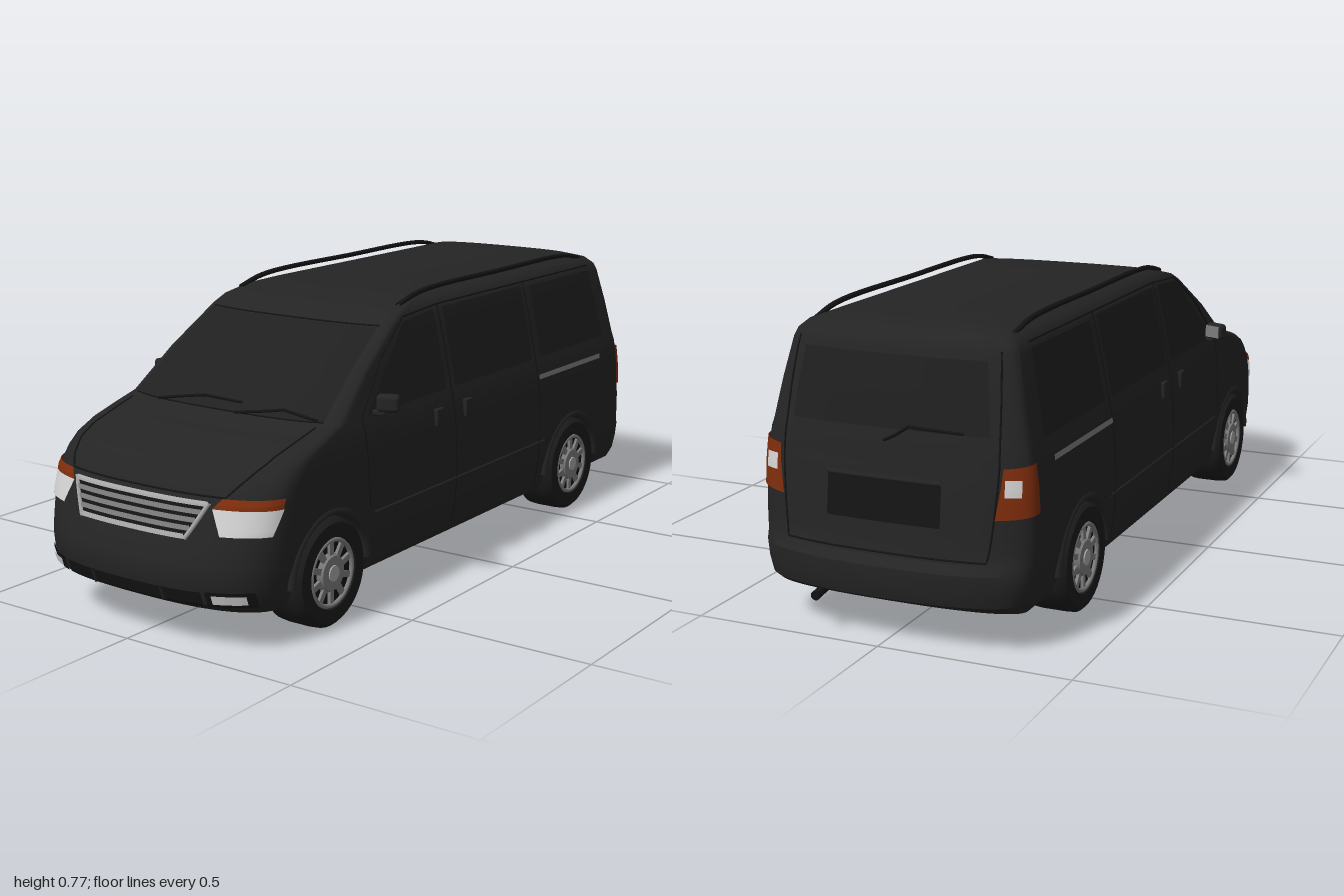
import * as THREE from 'three';
import { toCreasedNormals } from 'three/addons/utils/BufferGeometryUtils.js';
import { RoundedBoxGeometry } from 'three/addons/geometries/RoundedBoxGeometry.js';

const mat = (name, color) => {
  const m = new THREE.MeshStandardMaterial({ color, side: THREE.DoubleSide });
  m.name = name;
  return m;
};

// Body levels: height, front centre z, front corner z, rear centre z, rear corner z, half width
const LEVELS = [
  [0.095, 0.94, 0.81, -0.94, -0.87, 0.335], [0.12, 0.985, 0.81, -0.99, -0.87, 0.347],
  [0.16, 0.998, 0.81, -1.0, -0.87, 0.355], [0.2, 0.998, 0.81, -0.998, -0.87, 0.36],
  [0.22, 0.994, 0.81, -0.975, -0.87, 0.361], [0.26, 0.98, 0.81, -0.966, -0.87, 0.363],
  [0.3, 0.965, 0.81, -0.962, -0.87, 0.363], [0.36, 0.945, 0.8, -0.955, -0.87, 0.36],
  [0.4, 0.92, 0.77, -0.95, -0.87, 0.358], [0.43, 0.885, 0.74, -0.945, -0.87, 0.355],
  [0.455, 0.83, 0.69, -0.94, -0.87, 0.352], [0.48, 0.73, 0.62, -0.937, -0.87, 0.347],
  [0.5, 0.645, 0.56, -0.933, -0.865, 0.342], [0.6, 0.5, 0.44, -0.913, -0.85, 0.322],
  [0.7, 0.34, 0.285, -0.89, -0.83, 0.3], [0.72, 0.3, 0.245, -0.882, -0.82, 0.293],
  [0.74, 0.22, 0.17, -0.86, -0.8, 0.272], [0.752, 0.12, 0.08, -0.82, -0.76, 0.235],
  [0.758, 0.0, -0.02, -0.72, -0.68, 0.15],
];
const WHEELS = [0.65, -0.585], WHEEL_R = 0.14, ARCH_R = 0.15, POWER = 2.5;

function level(y) {
  let i = 0;
  while (i < LEVELS.length - 2 && LEVELS[i + 1][0] < y) i++;
  const a = LEVELS[i], b = LEVELS[i + 1];
  const t = THREE.MathUtils.clamp((y - a[0]) / (b[0] - a[0]), 0, 1);
  return a.map((v, k) => v + (b[k] - v) * t);
}

// Point on the rounded nose or tail at angle a (0 = centre, +-PI/2 = corner)
function endPoint(a, y, rear, off = 0) {
  const [, zf, zfc, zr, zrc, w] = level(y);
  const z0 = rear ? zrc : zfc, d = (rear ? zr : zf) - z0;
  const s = Math.abs(Math.sin(a)), c = Math.max(0, Math.cos(a));
  const f = s ** (2 / POWER), g = c ** (2 / POWER);
  const n = new THREE.Vector2(f ** (POWER - 1) / w, g ** (POWER - 1) / Math.abs(d)).normalize();
  return new THREE.Vector3(Math.sign(a) * (w * f + off * n.x), y, z0 + d * g + Math.sign(d) * off * n.y);
}
const angleOf = (x, y) =>
  Math.sign(x) * Math.asin(Math.min(1, Math.abs(x) / level(y)[5]) ** (POWER / 2));

// Surface mapping: front and rear take [x, y], left and right sides take [z, y]
const toParam = (face, [u, y]) => (face === 'front' || face === 'rear' ? [angleOf(u, y), y] : [u, y]);
function onSurface(face, u, y, off) {
  if (face === 'front' || face === 'rear') return endPoint(u, y, face === 'rear', off);
  return new THREE.Vector3((level(y)[5] + off) * (face === 'left' ? 1 : -1), y, u);
}

function bodyGeometry() {
  const cols = [0.81];
  WHEELS.forEach((zw) => {
    cols.push(zw + ARCH_R, zw + ARCH_R * 0.9985);
    for (let k = 1; k < 16; k++) cols.push(zw + ARCH_R * Math.cos((k * Math.PI) / 16));
    cols.push(zw - ARCH_R * 0.9985, zw - ARCH_R);
    if (zw > 0) for (let k = 1; k < 7; k++) cols.push(0.5 - k * 0.133);
  });
  cols.push(-0.87);
  const archY = (z) => Math.max(0, ...WHEELS.map((zw) => {
    const d = Math.abs(z - zw);
    return d < ARCH_R * 0.999 ? WHEEL_R + Math.sqrt(ARCH_R ** 2 - d * d) : 0;
  }));
  const pos = [], idx = [], N = 14;
  let m = 0, ring = 0;
  LEVELS.forEach((L) => {
    const half = [];
    for (let i = 0; i < N; i++) half.push(endPoint((i / N) * Math.PI / 2, L[0], false));
    cols.forEach((c) => {
      const t = (c + 0.87) / 1.68;
      const z = L[4] + (L[2] - L[4]) * t;
      const y = Math.max(L[0], archY(c));
      half.push(new THREE.Vector3(L[0] < 0.3 ? level(y)[5] : L[5], L[0] < 0.3 ? y : L[0], z));
    });
    for (let i = N - 1; i >= 0; i--) half.push(endPoint((i / N) * Math.PI / 2, L[0], true));
    m = half.length;
    const mirrored = half.slice(1, -1).reverse().map((p) => new THREE.Vector3(-p.x, p.y, p.z));
    const all = half.concat(mirrored);
    ring = all.length;
    all.forEach((p) => pos.push(p.x, p.y, p.z));
  });
  const top = (LEVELS.length - 1) * ring;
  for (let j = 0; j < LEVELS.length - 1; j++) for (let i = 0; i < ring; i++) {
    const a = j * ring + i, b = j * ring + ((i + 1) % ring);
    idx.push(a, b, b + ring, a, b + ring, a + ring);
  }
  for (let i = 0; i < m - 1; i++) {
    const q = (ring - i) % ring, q1 = ring - i - 1;
    idx.push(top + i, top + i + 1, top + q1, top + i, top + q1, top + q);
    idx.push(i, q1, i + 1, i, q, q1);
  }
  const g = new THREE.BufferGeometry();
  g.setAttribute('position', new THREE.Float32BufferAttribute(pos, 3));
  g.setIndex(idx);
  return toCreasedNormals(g, 0.6);
}

export function createModel() {
  const paint = mat('black paint', 0x242424), glass = mat('dark glass', 0x1f1f1f);
  const trim = mat('black trim', 0x141414), rubber = mat('rubber', 0x1b1b1b);
  const silver = mat('silver', 0xa8a8a8), alloy = mat('alloy', 0x7c7c7c);
  const lens = mat('clear lens', 0xd2d2d2), amber = mat('amber lens', 0x7d2c0c);
  const van = new THREE.Group();
  van.name = 'van';

  const add = (name, geo, material, parent = van) => {
    const mesh = new THREE.Mesh(geo, material);
    mesh.name = name;
    parent.add(mesh);
    return mesh;
  };
  // Thin plate hugging the body between four corners given in order
  const patch = (name, face, corners, material, off = 0.005) => {
    const [a, b, c, d] = corners.map((p) => toParam(face, p));
    const geo = new THREE.PlaneGeometry(1, 1, 16, 12), p = geo.attributes.position;
    for (let i = 0; i < p.count; i++) {
      const s = p.getX(i) + 0.5, t = p.getY(i) + 0.5;
      const mix = (k) => (a[k] * (1 - s) + b[k] * s) * (1 - t) + (d[k] * (1 - s) + c[k] * s) * t;
      p.setXYZ(i, ...onSurface(face, mix(0), mix(1), off).toArray());
    }
    if (face === 'right' || face === 'left' || face === 'rear') {
      const flip = face === 'left' ? a[0] < b[0] : a[0] > b[0];
      if (flip === (face === 'left')) geo.index.array.reverse();
    }
    geo.computeVertexNormals();
    return add(name, geo, material);
  };
  // Thin rod along the body
  const line = (name, face, pts, material = trim, r = 0.0025, off = 0.001) => {
    const path = [], q = pts.map((p) => toParam(face, p));
    for (let i = 0; i < q.length - 1; i++) for (let k = i ? 1 : 0; k <= 8; k++) {
      const t = k / 8;
      path.push(onSurface(face, q[i][0] + (q[i + 1][0] - q[i][0]) * t, q[i][1] + (q[i + 1][1] - q[i][1]) * t, off));
    }
    return add(name, new THREE.TubeGeometry(new THREE.CatmullRomCurve3(path, false, 'centripetal'), path.length * 2, r, 5), material);
  };
  const rect = (u0, u1, y0, y1) => [[u0, y0], [u1, y0], [u1, y1], [u0, y1]];

  add('body', bodyGeometry(), paint);
  add('underfloor', new THREE.BoxGeometry(0.47, 0.2, 1.6), trim).position.y = 0.198;

  // Windscreen and wipers
  patch('windscreen', 'front', [[-0.305, 0.505], [0.305, 0.505], [0.272, 0.695], [-0.272, 0.695]], glass);
  line('windscreenSeal', 'front', [[-0.305, 0.503], [0.305, 0.503]]);
  line('windscreenTopSeal', 'front', [[-0.275, 0.697], [0.275, 0.697]]);
  line('wiper', 'front', [[-0.2, 0.505], [-0.06, 0.527], [0.06, 0.525]], trim, 0.004, 0.012);
  line('wiper', 'front', [[0.06, 0.505], [0.19, 0.522], [0.29, 0.508]], trim, 0.004, 0.012);

  // Grille with slats and frame
  patch('grilleBack', 'front', [[-0.165, 0.275], [0.165, 0.275], [0.215, 0.365], [-0.215, 0.365]], trim, 0.004);
  for (let i = 0; i < 5; i++) {
    const y = 0.277 + i * 0.0195, x = 0.162 + i * 0.0115;
    patch('grilleSlat', 'front', rect(-x, x, y, y + 0.0115), i % 4 ? alloy : silver, 0.009);
  }
  for (const s of [-1, 1]) {
    line('grilleFrame', 'front', [[s * 0.165, 0.277], [s * 0.212, 0.363]], silver, 0.006, 0.006);
    // Headlamps, fog lamps
    patch('headlamp', 'front', [[s * 0.25, 0.29], [s * 0.35, 0.29], [s * 0.357, 0.35], [s * 0.222, 0.35]], lens);
    patch('indicator', 'front', [[s * 0.222, 0.35], [s * 0.357, 0.35], [s * 0.355, 0.374], [s * 0.24, 0.374]], amber);
    patch('fogSurround', 'front', rect(s * 0.225, s * 0.325, 0.118, 0.158), trim, 0.004);
    patch('fogLamp', 'front', rect(s * 0.24, s * 0.31, 0.127, 0.15), lens, 0.008);
    line('bumperDivider', 'front', [[s * 0.11, 0.12], [s * 0.11, 0.155]], paint, 0.004, 0.004);
    line('hoodCrease', 'front', [[s * 0.245, 0.375], [s * 0.29, 0.44], [s * 0.3, 0.495]]);
    // Tail lamps
    patch('tailLamp', 'rear', [[s * 0.28, 0.33], [s * 0.361, 0.34], [s * 0.352, 0.46], [s * 0.295, 0.45]], amber);
    patch('reverseLamp', 'rear', rect(s * 0.3, s * 0.335, 0.385, 0.425), lens, 0.008);
    line('tailgateSeam', 'rear', [[s * 0.265, 0.23], [s * 0.285, 0.45], [s * 0.265, 0.71]]);
  }
  patch('bumperIntake', 'front', rect(-0.215, 0.215, 0.118, 0.155), trim, 0.003);
  line('hoodSeam', 'front', [[-0.245, 0.375], [0.245, 0.375]]);

  // Tailgate
  patch('rearWindow', 'rear', [[-0.26, 0.52], [0.26, 0.52], [0.24, 0.69], [-0.24, 0.69]], glass);
  patch('plateRecess', 'rear', rect(-0.15, 0.15, 0.3, 0.4), trim, 0.003);
  line('tailgateHandle', 'rear', [[-0.15, 0.405], [0.15, 0.405]], paint, 0.007, 0.004);
  line('tailgateBottomSeam', 'rear', [[-0.265, 0.228], [0.265, 0.228]]);
  line('rearWiper', 'rear', [[0, 0.495], [-0.06, 0.53], [-0.2, 0.525]], trim, 0.004, 0.012);
  const pipe = add('exhaust', new THREE.CylinderGeometry(0.012, 0.012, 0.1, 12), trim);
  pipe.rotation.x = Math.PI / 2 - 0.15;
  pipe.position.set(0.18, 0.1, -0.93);

  for (const face of ['left', 'right']) {
    const s = face === 'left' ? 1 : -1;
    // Side windows
    patch('frontDoorWindow', face, [[0.475, 0.5], [0.105, 0.5], [0.105, 0.712], [0.255, 0.7]], glass, 0.003);
    patch('slidingDoorWindow', face, rect(0.06, -0.36, 0.5, 0.712), glass, 0.003);
    patch('rearSideWindow', face, [[-0.41, 0.5], [-0.8, 0.5], [-0.775, 0.705], [-0.41, 0.705]], glass, 0.003);
    // Door seams, rail, handles
    line('frontDoorSeam', face, [[0.49, 0.27], [0.495, 0.5], [0.38, 0.625], [0.25, 0.712], [0.08, 0.722]]);
    for (const z of [0.08, -0.38]) line('doorSeam', face, [[z, 0.12], [z, 0.72]]);
    line('roofSeam', face, [[0.08, 0.722], [-0.78, 0.72]]);
    line('sillMoulding', face, [[0.47, 0.25], [-0.41, 0.25]], paint, 0.004);
    patch('slidingRail', face, rect(-0.385, -0.765, 0.438, 0.452), alloy, 0.004);
    for (const z of [0.16, 0.015]) {
      add('doorHandle', new RoundedBoxGeometry(0.014, 0.05, 0.035, 2, 0.005), paint).position.set(s * 0.357, 0.435, z);
    }
    // Roof rail
    const rail = [[0.22, 0.735], [0.12, 0.757], [-0.3, 0.762], [-0.7, 0.757], [-0.8, 0.735]];
    add('roofRail', new THREE.TubeGeometry(new THREE.CatmullRomCurve3(
      rail.map(([z, y]) => new THREE.Vector3(s * 0.264, y, z))), 40, 0.007, 6), trim);
    // Door mirror
    const mirror = new THREE.Group();
    mirror.name = 'doorMirror';
    mirror.position.set(s * 0.375, 0.527, 0.425);
    mirror.rotation.y = s * 0.4;
    add('mirrorHousing', new RoundedBoxGeometry(0.06, 0.046, 0.035, 3, 0.012), paint, mirror);
    add('mirrorGlass', new THREE.BoxGeometry(0.048, 0.034, 0.004), alloy, mirror).position.z = -0.017;
    const stalk = add('mirrorStalk', new RoundedBoxGeometry(0.05, 0.016, 0.025, 2, 0.006), paint, mirror);
    stalk.position.set(-s * 0.03, -0.025, 0);
    van.add(mirror);

    for (const z of WHEELS) {
      // Wheel arch lip
      const lip = add('archLip', new THREE.TorusGeometry(ARCH_R + 0.006, 0.012, 6, 32, Math.PI), paint);
      lip.rotation.y = Math.PI / 2;
      lip.position.set(s * 0.355, WHEEL_R, z);
      // Wheel, axle along local y with the outer face up
      const wheel = new THREE.Group();
      wheel.name = 'wheel';
      wheel.position.set(s * 0.307, WHEEL_R, z);
      wheel.rotation.z = -s * Math.PI / 2;
      const tyre = [[0.085, -0.058], [0.128, -0.06], [0.138, -0.05], [0.14, -0.03], [0.14, 0.03], [0.138, 0.05], [0.128, 0.06], [0.092, 0.06], [0.086, 0.045]];
      add('tyre', toCreasedNormals(new THREE.LatheGeometry(tyre.map((p) => new THREE.Vector2(...p)), 40), 0.7), rubber, wheel);
      add('wheelDisc', new THREE.CylinderGeometry(0.087, 0.087, 0.1, 32), trim, wheel).position.y = -0.004;
      const rim = add('rim', new THREE.TorusGeometry(0.084, 0.006, 8, 40), alloy, wheel);
      rim.rotation.x = Math.PI / 2;
      rim.position.y = 0.054;
      add('hub', new THREE.CylinderGeometry(0.044, 0.052, 0.014, 24), alloy, wheel).position.y = 0.053;
      add('hubCap', new THREE.CylinderGeometry(0.02, 0.022, 0.006, 20), silver, wheel).position.y = 0.06;
      for (let k = 0; k < 10; k++) {
        const a = (k / 10) * Math.PI * 2;
        const spoke = add('spoke', new THREE.BoxGeometry(0.04, 0.008, 0.016), alloy, wheel);
        spoke.position.set(Math.cos(a) * 0.064, 0.051, -Math.sin(a) * 0.064);
        spoke.rotation.y = a;
      }
      van.add(wheel);
    }
  }
  return van;
}
